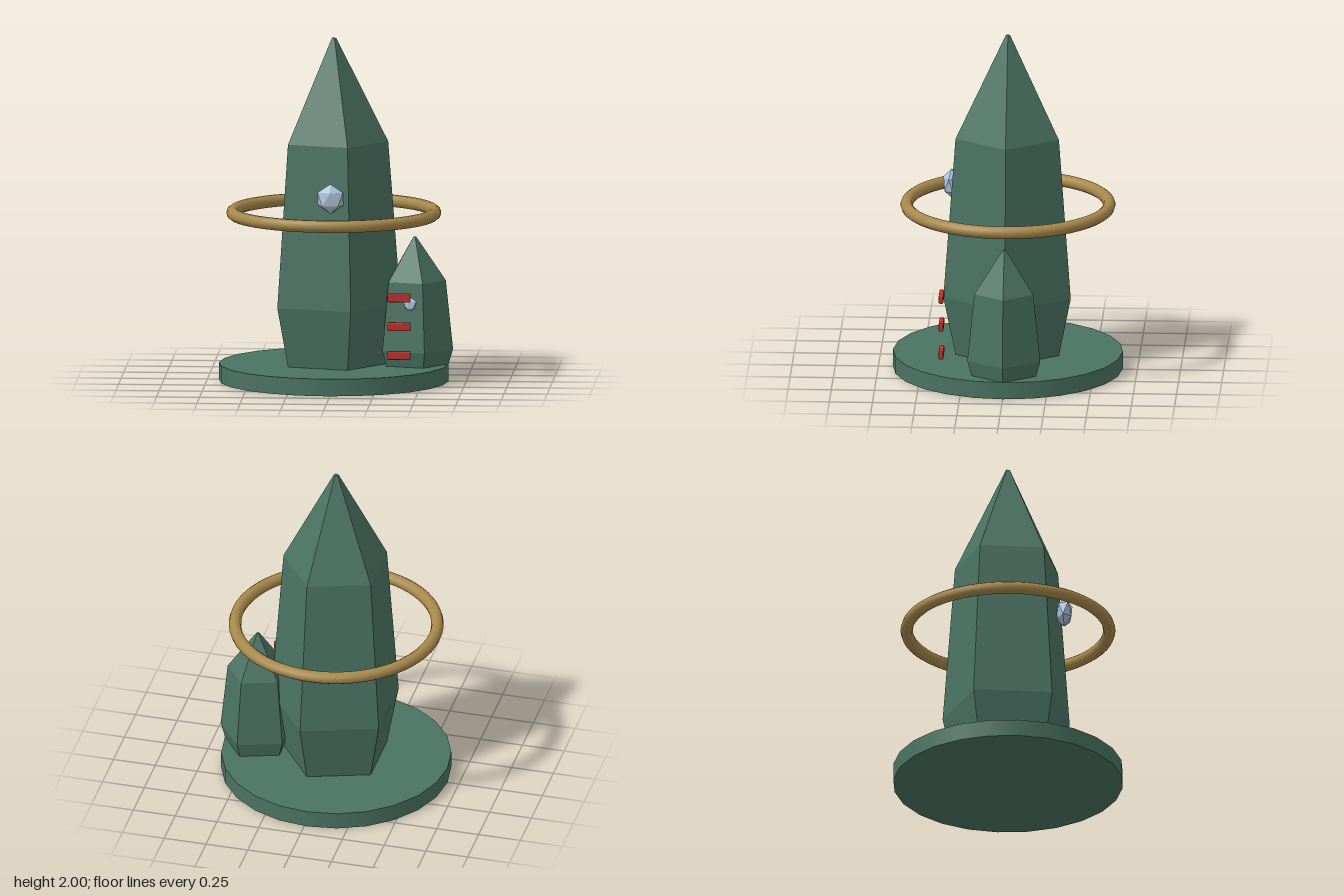
import * as THREE from 'three';
import { RoundedBoxGeometry } from 'three/addons/geometries/RoundedBoxGeometry.js';

const material = (name, color, flatShading = false) => {
  const m = new THREE.MeshStandardMaterial({ color, flatShading });
  m.name = name;
  return m;
};

export function createModel() {
  const group = new THREE.Group();
  const green = material('stone green', 0x4a7363);
  const crystalGreen = green.clone();
  crystalGreen.flatShading = true;
  const gold = material('gold', 0xa8894b);
  const red = material('red', 0xc0322a);
  const pale = material('pale blue', 0xb0c4de, true);
  const cx = -0.017; // shared axis of base, main crystal and ring

  const add = (name, geometry, mat, x, y, z) => {
    const mesh = new THREE.Mesh(geometry, mat);
    mesh.name = name;
    mesh.position.set(x, y, z);
    group.add(mesh);
    return mesh;
  };

  // Five-sided crystal from a [radius, height] profile, one corner towards +x
  const crystal = (profile) => new THREE.LatheGeometry(
    profile.map(([r, y]) => new THREE.Vector2(r, y)), 5, Math.PI / 2).toNonIndexed();

  // Icosahedral gem with a corner pointing up, flattened front to back
  const gem = (radius) => new THREE.IcosahedronGeometry(radius, 0)
    .rotateX(-Math.atan((1 + Math.sqrt(5)) / 2)).scale(1, 1, 0.6);

  // Round base
  add('base', new THREE.CylinderGeometry(0.666, 0.666, 0.1, 24), green, cx, 0.05, 0);

  // Crystals
  add('mainCrystal', crystal([[0, 0.1], [0.315, 0.1], [0.388, 0.45], [0.315, 1.4], [0.014, 2], [0, 2]]),
    crystalGreen, cx, 0, 0);
  add('sideCrystal', crystal([[0, 0.043], [0.18, 0.043], [0.222, 0.19], [0.18, 0.59], [0.009, 0.842], [0, 0.842]]),
    crystalGreen, 0.452, 0, 0);

  // Floating ring
  add('ring', new THREE.TorusGeometry(0.586, 0.036, 10, 64).rotateX(Math.PI / 2), gold, cx, 0.98, 0);

  // Gems set on the front faces
  add('mainGem', gem(0.087), pale, cx, 1.105, 0.327);
  add('sideGem', gem(0.044), pale, 0.437, 0.467, 0.153).rotation.y = -Math.PI / 10;

  // Three red bars, one above another
  for (let i = 0; i < 3; i++) {
    add('bar' + (i + 1), new RoundedBoxGeometry(0.135, 0.05, 0.027, 2, 0.007), red, 0.383, 0.2 + i * 0.168, 0.367);
  }
  return group;
}
